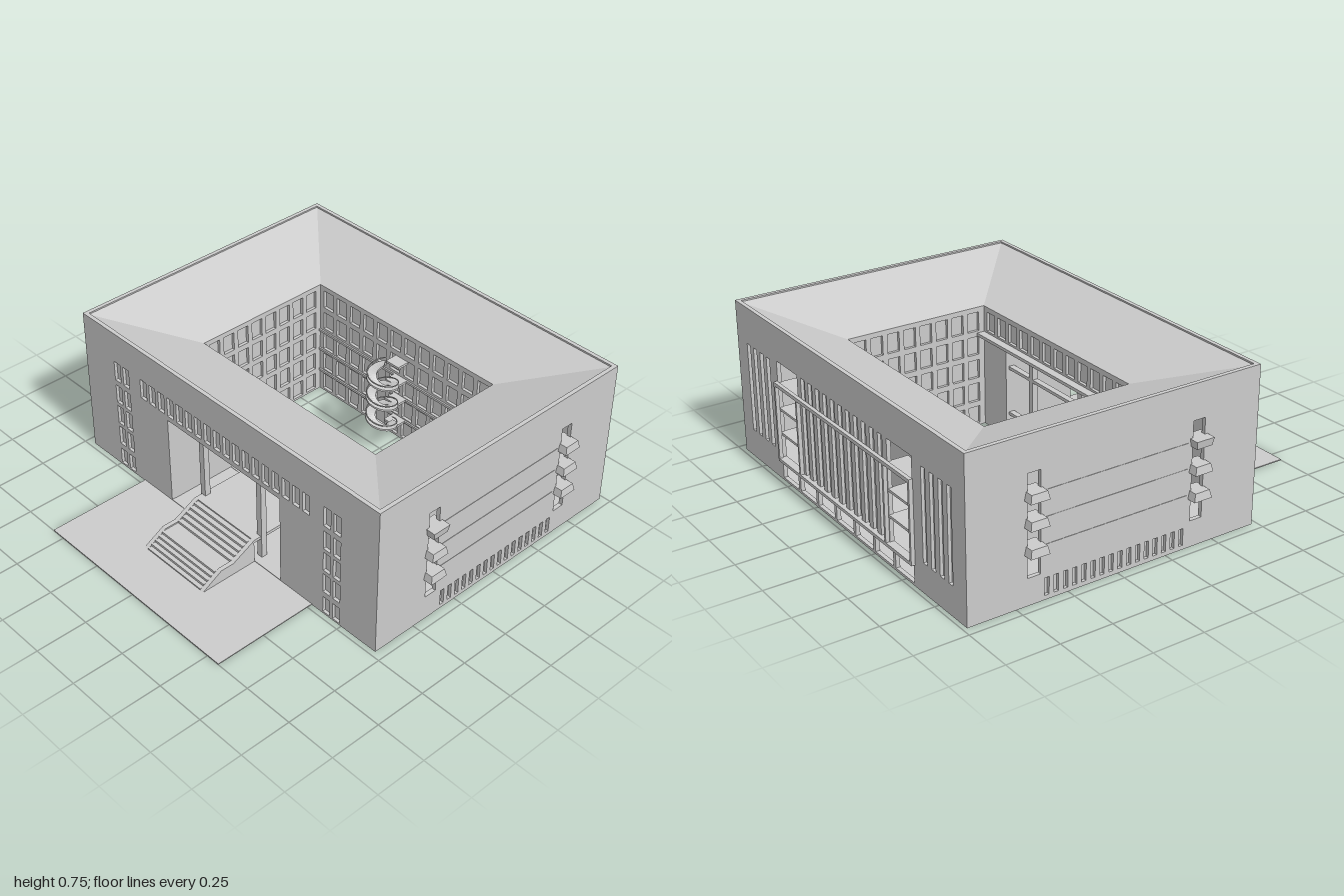
import * as THREE from 'three';
import { mergeGeometries } from 'three/addons/utils/BufferGeometryUtils.js';
import { ParametricGeometry } from 'three/addons/geometries/ParametricGeometry.js';

const mat = new THREE.MeshStandardMaterial({ color: 0xcccccc, flatShading: true, side: THREE.DoubleSide });
const X = 0.955, ZF = 0.475, ZB = -0.98, H = 0.75;            // outer block
const CX = 0.555, CF = 0.1, CB = -0.63, CH = 0.61;            // courtyard
const T = 0.02;                                               // wall thickness
const FLOORS = [0.12, 0.24, 0.36, 0.48];

// Box from min/max corners
function boxGeo(x0, x1, y0, y1, z0, z1) {
  return new THREE.BoxGeometry(x1 - x0, y1 - y0, z1 - z0)
    .translate((x0 + x1) / 2, (y0 + y1) / 2, (z0 + z1) / 2);
}

function add(parent, name, geo) {
  const m = new THREE.Mesh(geo, mat);
  m.name = name;
  parent.add(m);
  return m;
}

function rectPath(Type, x0, x1, y0, y1) {
  const p = new Type();
  p.moveTo(x0, y0); p.lineTo(x1, y0); p.lineTo(x1, y1); p.lineTo(x0, y1); p.closePath();
  return p;
}

// Wall with windows; its face lies on local z = 0. Holes: [u0, u1, y0, y1, open]
function wall(parent, name, u0, u1, h, holes, pos, rotY) {
  const g = new THREE.Group();
  g.name = name;
  const s = rectPath(THREE.Shape, u0, u1, 0, h);
  holes.forEach(o => s.holes.push(rectPath(THREE.Path, o[0], o[1], o[2], o[3])));
  add(g, name + 'Panel', new THREE.ExtrudeGeometry(s, { depth: T, bevelEnabled: false }).translate(0, 0, -T));
  const panes = holes.filter(o => !o[4])
    .map(o => boxGeo(o[0], o[1], o[2], o[3], -T, -T + 0.005));
  if (panes.length) add(g, name + 'Panes', mergeGeometries(panes));
  g.position.set(...pos);
  g.rotation.y = rotY;
  parent.add(g);
  return g;
}

// Evenly spaced row of holes
function row(from, step, n, w, y0, y1, open) {
  return Array.from({ length: n }, (_, i) => [from + i * step, from + i * step + w, y0, y1, open]);
}

function buildFront(root) {
  const holes = [[-0.37, 0.37, 0.008, 0.465, true], ...row(-0.555, 0.0628, 18, 0.042, 0.49, 0.592)];
  for (const [y0, y1] of [[0.01, 0.095], [0.125, 0.225], [0.245, 0.345], [0.365, 0.462], [0.49, 0.592]])
    for (const x of [-0.742, -0.68, 0.638, 0.698]) holes.push([x, x + 0.042, y0, y1]);
  wall(root, 'frontWall', -X, X, H, holes, [0, 0, ZF], 0);

  // Passage from the entrance to the courtyard
  const p = new THREE.Group();
  p.name = 'entrancePassage';
  for (const s of [-1, 1]) {
    add(p, 'passageSide', boxGeo(-0.005, 0.005, 0, 0.465, CF, ZF - T).translate(s * 0.375, 0, 0));
    for (const z of [0.42, 0.13])
      add(p, 'column', boxGeo(-0.015, 0.015, 0, 0.465, z - 0.015, z + 0.015).translate(s * 0.19, 0, 0));
  }
  add(p, 'passageCeiling', boxGeo(-0.38, 0.38, 0.465, 0.475, CF, ZF - T));
  add(p, 'passageFloor', boxGeo(-0.2, 0.2, 0.11, 0.125, CF, ZF));
  for (const y of [0.11, 0.345]) add(p, 'passageBeam', boxGeo(-0.37, 0.37, y, y + 0.015, 0.115, 0.145));
  root.add(p);
}

function buildBack(root) {
  const holes = row(-0.57, 0.165, 7, 0.145, 0.012, 0.09, true);
  for (const x of [-0.57, 0.38]) holes.push([x, x + 0.19, 0.115, 0.585, true]);
  holes.push(...row(-0.345, 0.0655, 11, 0.035, 0.115, 0.585));
  for (const x of [-0.86, 0.64]) holes.push(...row(x, 0.063, 4, 0.03, 0.14, 0.57));
  const g = wall(root, 'backWall', -X, X, H, holes, [0, 0, ZB], Math.PI);

  // Balcony slabs in the two open bays
  for (const s of [-1, 1])
    for (const y of FLOORS.slice(1))
      add(g, 'baySlab', boxGeo(-0.1, 0.1, y - 0.012, y, -0.1, 0).translate(s * 0.475, 0, 0));

  // Projecting frame
  const f = [boxGeo(-0.575, 0.575, 0.47, 0.487, 0, 0.018), boxGeo(-0.575, 0.575, 0.1, 0.115, 0, 0.018)];
  for (const x of [-0.57, -0.37, 0.37, 0.57]) f.push(boxGeo(x - 0.006, x + 0.006, 0.1, 0.487, 0, 0.018));
  add(g, 'backFrame', mergeGeometries(f));
}

function buildSides(root) {
  for (const s of [-1, 1]) {
    const holes = row(-0.09, 0.0455, 16, 0.022, 0.02, 0.1);
    for (const u of [-0.155, 0.665]) holes.push([u - 0.031, u + 0.031, 0.125, 0.585, true]);
    // u runs along -z on both sides
    const flipped = holes.map(o => (s > 0 ? o : [-o[1], -o[0], o[2], o[3], o[4]]));
    const [u0, u1] = s > 0 ? [-ZF, -ZB] : [ZB, ZF];
    wall(root, 'sideWall', u0, u1, H, flipped, [s * X, 0, 0], s * Math.PI / 2);

    // Tapered boxes across the slots and thin sills between them
    for (const y of [0.232, 0.354, 0.472]) {
      for (const z of [0.155, -0.665]) {
        const b = boxGeo(-0.045, 0.045, 0, 0.037, -0.046, 0.046);
        const p = b.attributes.position, top = y > 0.4 && z > 0 ? 1 : 0.82, bottom = y > 0.4 && z > 0 ? 0.86 : 1;
        for (let i = 0; i < p.count; i++) {
          const k = p.getY(i) > 0.02 ? top : bottom;
          p.setZ(i, p.getZ(i) * k);
          if (p.getX(i) * s > 0) p.setX(i, p.getX(i) * (k < 1 ? 0.85 : 1));
        }
        add(root, 'slotBox', b).position.set(s * X, y, z);
      }
      add(root, 'sideSill', boxGeo(-0.002, 0.002, y + 0.012, y + 0.02, -0.61, 0.1).translate(s * X, 0, 0));
    }
  }
}

function buildCourtyard(root) {
  const rows = [[0.012, 0.1], [0.128, 0.222], [0.25, 0.342], [0.37, 0.462], [0.49, 0.585]];
  const grid = (from, step, n, w) => rows.flatMap(([a, b]) => row(from, step, n, w, a, b));
  wall(root, 'courtBackWall', -CX, CX, CH, grid(-0.53, 0.0907, 12, 0.065), [0, 0, CB], 0);
  const front = [[-0.37, 0.37, 0.008, 0.465, true], ...row(-0.53, 0.0907, 12, 0.065, 0.49, 0.585)];
  wall(root, 'courtFrontWall', -CX, CX, CH, front, [0, 0, CF], Math.PI);
  for (const s of [-1, 1]) {
    const [u0, u1] = s > 0 ? [CB, CF] : [-CF, -CB];
    wall(root, 'courtSideWall', u0, u1, CH, grid(u0 + 0.03, 0.0869, 8, 0.062), [s * CX, 0, 0], -s * Math.PI / 2);
  }
  add(root, 'courtLedge', boxGeo(-CX, CX, 0.465, 0.48, 0.06, CF));
  for (const y of [0.11, 0.235, 0.345])
    add(root, 'courtBand', boxGeo(-CX, CX, y, y + 0.012, CB, CB + 0.008));

  // Spiral ramp with its rail and landings
  const spiral = new THREE.Group();
  spiral.name = 'spiralStair';
  const corners = [[0.03, 0], [0.077, 0], [0.077, 0.01], [0.03, 0.01], [0.03, 0]];
  const turns = 2.9, rise = 0.33;
  add(spiral, 'spiralRamp', new ParametricGeometry((u, v, out) => {
    const a = -Math.PI / 2 + u * turns * Math.PI * 2, [r, y] = corners[Math.round(v * 4)];
    out.set(r * Math.cos(a), 0.12 + u * rise + y, r * Math.sin(a));
  }, 90, 4));
  const rail = new THREE.CatmullRomCurve3(Array.from({ length: 61 }, (_, i) => {
    const a = -Math.PI / 2 + (i / 60) * turns * Math.PI * 2;
    return new THREE.Vector3(0.074 * Math.cos(a), 0.148 + (i / 60) * rise, 0.074 * Math.sin(a));
  }));
  add(spiral, 'spiralRail', new THREE.TubeGeometry(rail, 120, 0.003, 5));
  for (const y of [0.11, 0.235, 0.345, 0.45])
    add(spiral, 'spiralLanding', boxGeo(-0.04, 0.04, y, y + 0.012, -0.125, -0.06));
  spiral.position.set(0, 0, -0.505);
  root.add(spiral);
}

// Four roof slopes falling towards the courtyard
function buildRoof(root) {
  const o = [[-X, ZF], [X, ZF], [X, ZB], [-X, ZB]], n = [[-CX, CF], [CX, CF], [CX, CB], [-CX, CB]];
  const v = [];
  for (let i = 0; i < 4; i++) {
    const j = (i + 1) % 4;
    const a = [o[i][0], H, o[i][1]], b = [o[j][0], H, o[j][1]];
    const c = [n[j][0], CH, n[j][1]], d = [n[i][0], CH, n[i][1]];
    v.push(...a, ...b, ...c, ...a, ...c, ...d);
  }
  const g = new THREE.BufferGeometry();
  g.setAttribute('position', new THREE.Float32BufferAttribute(v, 3));
  g.computeVertexNormals();
  add(root, 'roof', g);
}

function buildGround(root) {
  const s = rectPath(THREE.Shape, -X, X, -ZF, -ZB);
  s.holes.push(rectPath(THREE.Path, -CX, CX, -CF, -CB));
  add(root, 'groundSlab', new THREE.ExtrudeGeometry(s, { depth: 0.006, bevelEnabled: false }).rotateX(-Math.PI / 2));
  add(root, 'forecourt', boxGeo(-0.57, 0.57, 0, 0.005, ZF, 1));

  // Entrance stair: two flights, a landing and sloped cheeks (profile in z, y)
  const profile = (pts, width, name, x) => {
    const shape = new THREE.Shape(pts.map(([z, y]) => new THREE.Vector2(-z, y)));
    const geo = new THREE.ExtrudeGeometry(shape, { depth: width, bevelEnabled: false })
      .translate(0, 0, -width / 2).rotateY(Math.PI / 2);
    add(root, name, geo).position.x = x;
  };
  const steps = [[ZF, 0], [0.77, 0]];
  const flight = (z0, z1, y0, y1, n) => {
    for (let i = 0; i < n; i++) {
      const z = z0 + (z1 - z0) * i / n, y = y0 + (y1 - y0) * (i + 1) / n;
      steps.push([z, y], [z0 + (z1 - z0) * (i + 1) / n, y]);
      if (i < n - 1) continue;
    }
  };
  flight(0.77, 0.665, 0, 0.058, 5);
  steps.push([0.595, 0.058]);
  flight(0.595, ZF, 0.058, 0.118, 5);
  profile(steps, 0.36, 'entranceSteps', 0);
  const cheek = [[ZF, 0], [0.78, 0], [0.665, 0.065], [0.595, 0.065], [ZF, 0.125]];
  for (const s of [-1, 1]) profile(cheek, 0.022, 'stairCheek', s * 0.19);
}

export function createModel() {
  const root = new THREE.Group();
  root.name = 'courtyardBuilding';
  [buildGround, buildFront, buildBack, buildSides, buildCourtyard, buildRoof].forEach(f => f(root));
  return root;
}
